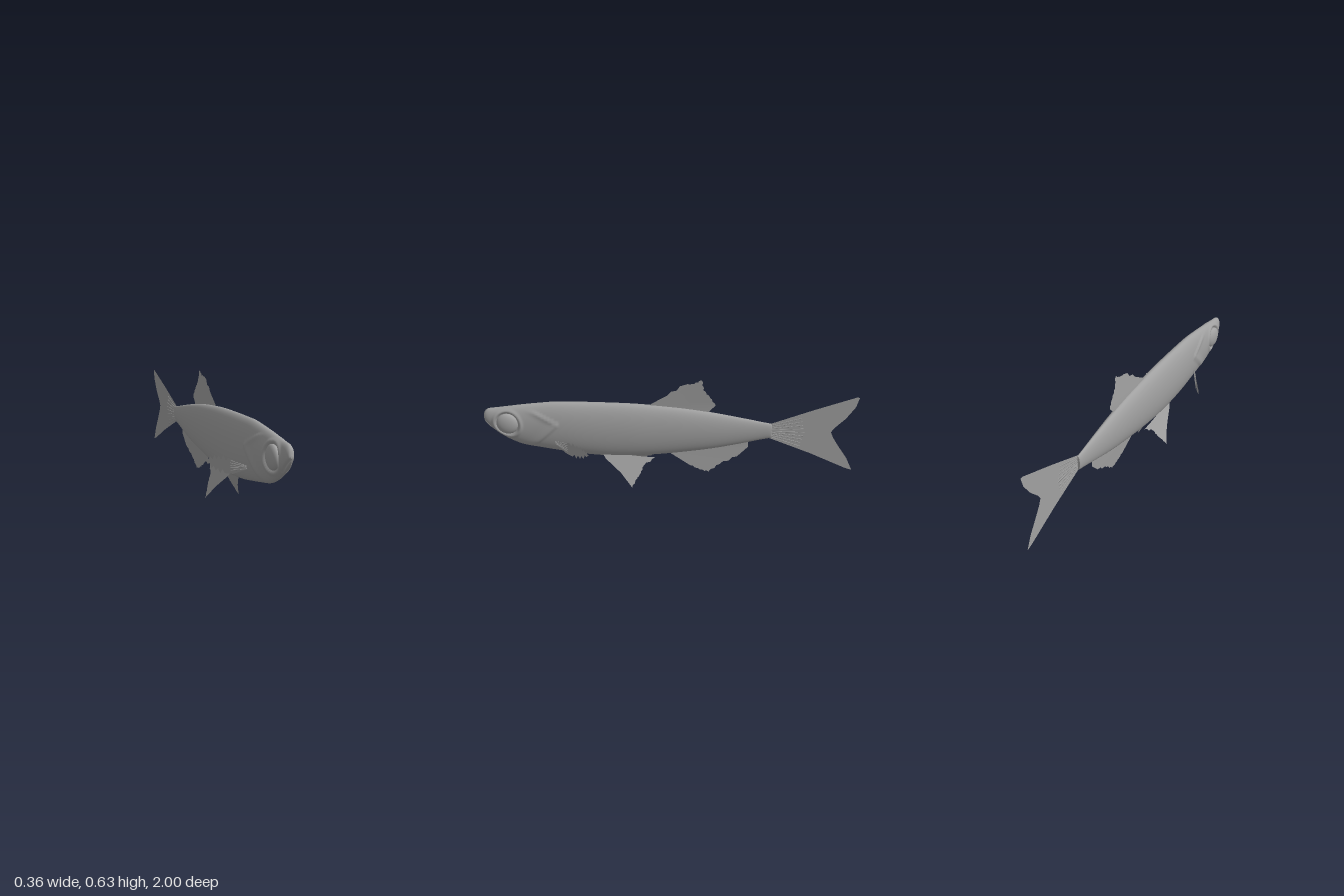
import * as THREE from 'three';

const skin = new THREE.MeshStandardMaterial({ color: 0xa0a0a0, side: THREE.DoubleSide });
skin.name = 'greySkin';

// Body stations from nose to tail: z, top y, bottom y, half width
const stations = [
  [1.0, 0.372, 0.352, 0.006], [0.992, 0.402, 0.338, 0.015], [0.97, 0.42, 0.312, 0.024],
  [0.92, 0.428, 0.272, 0.033], [0.86, 0.438, 0.235, 0.041], [0.79, 0.45, 0.207, 0.045],
  [0.7, 0.463, 0.192, 0.047], [0.6, 0.475, 0.178, 0.05], [0.48, 0.479, 0.163, 0.053],
  [0.33, 0.481, 0.156, 0.054], [0.18, 0.48, 0.163, 0.053], [0.04, 0.473, 0.178, 0.049],
  [-0.1, 0.462, 0.2, 0.044], [-0.25, 0.443, 0.228, 0.036], [-0.4, 0.418, 0.265, 0.025],
  [-0.5, 0.4, 0.292, 0.017], [-0.55, 0.391, 0.304, 0.013], [-0.557, 0.385, 0.31, 0.008],
];
const outline = new THREE.CatmullRomCurve3(
  stations.map(([z, t, b]) => new THREE.Vector3(z, t, b)), false, 'catmullrom', 0.5);
const widths = new THREE.CatmullRomCurve3(
  stations.map(([z, , , w]) => new THREE.Vector3(z, w, 0)), false, 'catmullrom', 0.5);

const EYE = { z: 0.866, y: 0.345 };
const bump = (d, s) => Math.exp(-(d * d) / (s * s));

// Relief on the head: eye socket and rim, gill cover edge, mouth
function relief(y, z) {
  const r = Math.hypot(z - EYE.z, y - EYE.y);
  let d = 0.005 * bump(r - 0.077, 0.009);
  d -= 0.012 * (1 - THREE.MathUtils.smoothstep(r, 0.055, 0.071));
  const edge = y > 0.36 ? 0.585 + (y - 0.36) * 2 : 0.585 + (0.36 - y);
  const ahead = z - edge;
  const fade = THREE.MathUtils.smoothstep(y, 0.2, 0.25) * (1 - THREE.MathUtils.smoothstep(y, 0.41, 0.44));
  if (z > 0.5) d += fade * (ahead > 0 ? 0.006 * bump(ahead, 0.04) : 0.006 * bump(ahead, 0.008));
  if (z > 0.93) d -= 0.006 * bump(y - (0.357 - (1 - z) * 1.05), 0.007);
  return d;
}

function bodyGeometry() {
  const rings = 300, sides = 72, pos = [], idx = [];
  for (let i = 0; i <= rings; i++) {
    const t = Math.pow(i / rings, 1.15);
    const o = outline.getPoint(t), w = widths.getPoint(t).y;
    for (let j = 0; j < sides; j++) {
      const a = (j / sides) * Math.PI * 2, s = Math.sin(a);
      const y = (o.y + o.z) / 2 + ((o.y - o.z) / 2) * Math.cos(a);
      const half = Math.max(0, w * Math.abs(s) + relief(y, o.x) * Math.min(1, Math.abs(s) * 1.5));
      pos.push(Math.sign(s) * half, y, o.x);
      if (i < rings) {
        const p = i * sides + j, q = i * sides + ((j + 1) % sides);
        idx.push(p, q, p + sides, q, q + sides, p + sides);
      }
    }
  }
  // Close nose and tail
  for (const [ring, y, z] of [[0, 0.362, 1], [rings, 0.347, -0.557]]) {
    const c = pos.length / 3;
    pos.push(0, y, z);
    for (let j = 0; j < sides; j++) {
      const p = ring * sides + j, q = ring * sides + ((j + 1) % sides);
      if (ring) idx.push(p, q, c); else idx.push(q, p, c);
    }
  }
  const g = new THREE.BufferGeometry();
  g.setAttribute('position', new THREE.Float32BufferAttribute(pos, 3));
  g.setIndex(idx);
  g.computeVertexNormals();
  return g;
}

function add(parent, name, geometry) {
  const m = new THREE.Mesh(geometry, skin);
  m.name = name;
  parent.add(m);
  return m;
}

// Thin fin: outline in (u, v), segments from..to get small notches, place maps to 3D
function finGeometry(points, from, to, place) {
  const pts = [];
  points.forEach(([u, v], i) => {
    pts.push(new THREE.Vector2(u, v));
    if (i < from || i >= to) return;
    const [nu, nv] = points[i + 1];
    const du = nu - u, dv = nv - v;
    for (let k = 1; k < 4; k++) {
      const f = k / 4, n = k % 2 ? 0.07 : -0.03;
      pts.push(new THREE.Vector2(u + du * f + dv * n, v + dv * f - du * n));
    }
  });
  const g = new THREE.ShapeGeometry(new THREE.Shape(pts));
  const p = g.attributes.position;
  for (let i = 0; i < p.count; i++) p.setXYZ(i, ...place(p.getX(i), p.getY(i)));
  g.computeVertexNormals();
  return g;
}

// Slender fin ray between two points
function ray(parent, name, a, b, r) {
  const line = new THREE.LineCurve3(new THREE.Vector3(...a), new THREE.Vector3(...b));
  add(parent, name, new THREE.TubeGeometry(line, 1, r, 5));
}

export function createModel() {
  const fish = new THREE.Group();
  fish.name = 'fish';
  add(fish, 'body', bodyGeometry());

  // Unpaired fins, leaning slightly to one side
  add(fish, 'dorsalFin', finGeometry([
    [0.1, 0.47], [0.085, 0.485], [0, 0.54], [-0.095, 0.61], [-0.14, 0.615], [-0.18, 0.64],
    [-0.19, 0.58], [-0.225, 0.535], [-0.255, 0.488], [-0.225, 0.455], [-0.22, 0.435],
  ], 2, 8, (z, y) => [Math.max(0, y - 0.48) * 0.065, y, z]));
  add(fish, 'analFin', finGeometry([
    [0, 0.2], [-0.02, 0.183], [-0.126, 0.115], [-0.18, 0.09], [-0.228, 0.08], [-0.287, 0.13],
    [-0.378, 0.18], [-0.437, 0.243], [-0.435, 0.285], [-0.25, 0.24],
  ], 2, 6, (z, y) => [Math.max(0, 0.22 - y) * 0.08, y, z]));
  add(fish, 'tailFin', finGeometry([
    [-0.545, 0.39], [-0.77, 0.484], [-0.985, 0.568], [-1, 0.567], [-0.985, 0.51], [-0.94, 0.44],
    [-0.885, 0.38], [-0.87, 0.355], [-0.885, 0.32], [-0.92, 0.265], [-0.965, 0.2],
    [-1, 0.125], [-0.965, 0.135], [-0.77, 0.22], [-0.545, 0.305],
  ], 99, 99, (z, y) => [0.003, y, z]));

  // Rays at the root of the tail
  for (let i = 0; i < 9; i++) {
    const k = (i - 4) / 4;
    ray(fish, 'tailRay', [0.003, 0.347 + k * 0.034, -0.55],
      [0.003, 0.347 + k * 0.085, -0.73 + Math.abs(k) * 0.02], 0.0025);
  }

  for (const side of [1, -1]) {
    const label = side > 0 ? 'left' : 'right';

    // Eye bulging from its socket
    const eye = add(fish, label + 'Eye', new THREE.SphereGeometry(0.06, 40, 28));
    eye.scale.x = 0.42;
    eye.position.set(side * 0.029, EYE.y, EYE.z);

    // Pectoral fin swept outwards and back
    const pectoral = (s, y) => [side * (0.045 + 0.135 * s), y, 0.605 - 0.205 * s];
    add(fish, label + 'PectoralFin', finGeometry([
      [-0.03, 0.24], [-0.03, 0.258], [0.25, 0.268], [0.42, 0.283], [0.65, 0.286], [0.85, 0.278],
      [1, 0.261], [0.92, 0.238], [0.72, 0.212], [0.5, 0.205], [0.3, 0.208], [0.12, 0.226],
    ], 3, 9, pectoral));
    for (let i = 0; i < 5; i++) {
      const k = (i - 2) / 2;
      ray(fish, label + 'PectoralRay', pectoral(-0.02, 0.248 + k * 0.007),
        pectoral(0.36, 0.247 + k * 0.024), 0.002);
    }

    // Pelvic fin splayed downwards
    add(fish, label + 'PelvicFin', finGeometry([
      [0.35, 0.168], [0.335, 0.148], [0.25, 0.08], [0.186, 0.008], [0.16, 0.055],
      [0.142, 0.08], [0.126, 0.122], [0.06, 0.165], [0.15, 0.168], [0.25, 0.175],
    ], 3, 7, (z, y) => [side * (0.025 + (0.16 - y) * 0.46), y, z]));
  }
  return fish;
}
